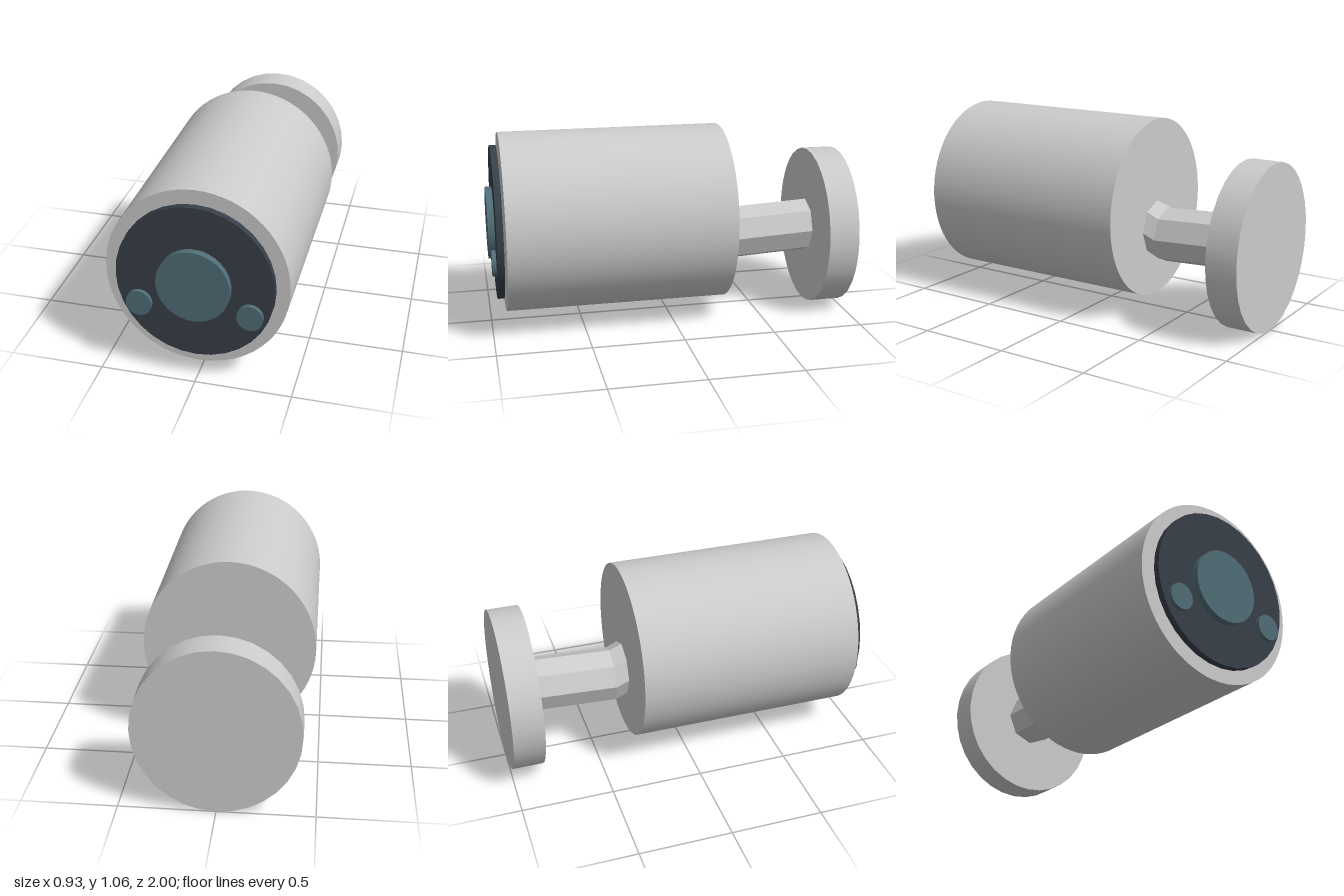
import * as THREE from 'three';

const grey = new THREE.MeshStandardMaterial({ color: 0xcccccc });
const greyFlat = new THREE.MeshStandardMaterial({ color: 0xcccccc, flatShading: true, side: THREE.DoubleSide });
const dark = new THREE.MeshStandardMaterial({ color: 0x373f48 });
const glass = new THREE.MeshStandardMaterial({ color: 0x506d77 });

// Elliptical disc or barrel lying along z between zBack and zFront
function drum(name, material, x, y, rx, ry, zBack, zFront, sides) {
  const geometry = new THREE.CylinderGeometry(1, 1, zFront - zBack, sides);
  geometry.rotateX(Math.PI / 2);
  geometry.scale(rx, ry, 1);
  const mesh = new THREE.Mesh(geometry, material);
  mesh.name = name;
  mesh.position.set(x, y, (zBack + zFront) / 2);
  return mesh;
}

// Octagonal arm swept through upright rings, with one bend
function bentArm() {
  const sides = 8;
  const stations = [[-0.86, 0.453], [-0.37, 0.428], [-0.2, 0.5]]; // z, centre y
  const positions = [];
  const indices = [];
  stations.forEach(([z, y], ring) => {
    for (let i = 0; i < sides; i++) {
      const a = (i / sides) * Math.PI * 2;
      positions.push(0.147 * Math.sin(a), y + 0.153 * Math.cos(a), z);
      if (ring === 0) continue;
      const next = (i + 1) % sides;
      const a0 = (ring - 1) * sides + i, b0 = (ring - 1) * sides + next;
      const a1 = ring * sides + i, b1 = ring * sides + next;
      indices.push(a0, a1, b0, b0, a1, b1);
    }
  });
  const geometry = new THREE.BufferGeometry();
  geometry.setAttribute('position', new THREE.Float32BufferAttribute(positions, 3));
  geometry.setIndex(indices);
  geometry.computeVertexNormals();
  const mesh = new THREE.Mesh(geometry, greyFlat);
  mesh.name = 'arm';
  return mesh;
}

export function createModel() {
  const model = new THREE.Group();
  model.name = 'securityCamera';

  // Mount and housing
  model.add(drum('wallPlate', grey, 0, 0.45, 0.425, 0.449, -1, -0.83, 32));
  model.add(bentArm());
  model.add(drum('housing', grey, 0, 0.573, 0.467, 0.492, -0.3, 0.92, 64));

  // Front panel, main lens and the two small sensors
  model.add(drum('facePanel', dark, 0, 0.573, 0.401, 0.422, 0.93, 0.965, 32));
  model.add(drum('lens', glass, 0, 0.573, 0.187, 0.197, 0.965, 1, 32));
  for (const side of [1, -1]) {
    model.add(drum(side > 0 ? 'leftSensor' : 'rightSensor', glass,
      side * 0.282, 0.432, 0.066, 0.07, 0.97, 0.992, 32));
  }
  return model;
}
